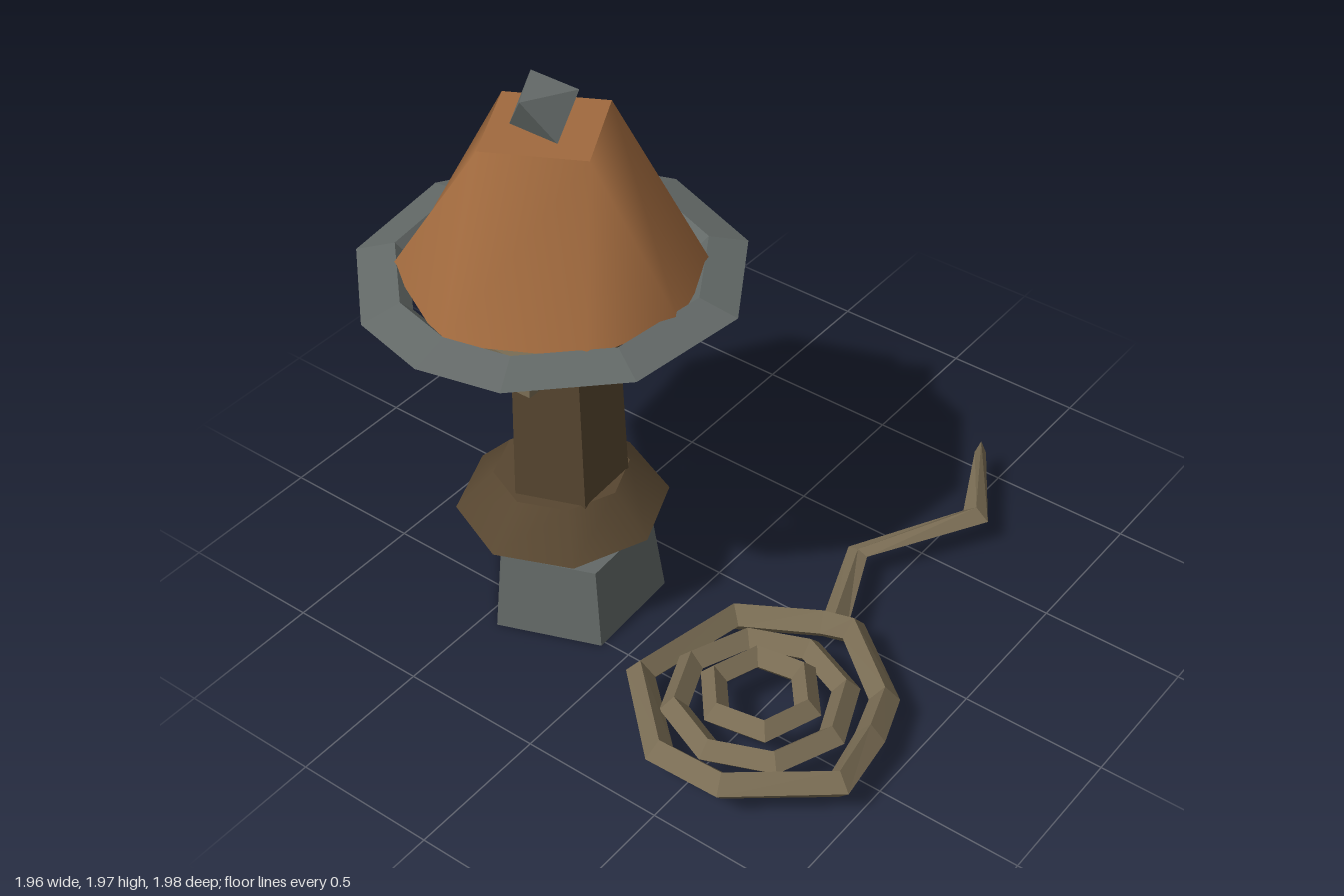
import * as THREE from 'three';

const rad = THREE.MathUtils.degToRad;
const UP = new THREE.Vector3(0, 1, 0);

// Flat-shaded skin through a list of four-cornered sections
function skin(rings, closed) {
  const n = rings.length, index = [];
  const spans = closed ? n : n - 1;
  for (let i = 0; i < spans; i++) {
    const j = (i + 1) % n;
    for (let k = 0; k < 4; k++) {
      const l = (k + 1) % 4;
      const a = i * 4 + k, b = i * 4 + l, c = j * 4 + k, d = j * 4 + l;
      index.push(a, b, c, b, d, c);
    }
  }
  if (!closed) {
    const e = (n - 1) * 4;
    index.push(0, 3, 2, 0, 2, 1, e, e + 1, e + 2, e, e + 2, e + 3);
  }
  const indexed = new THREE.BufferGeometry().setFromPoints(rings.flat());
  indexed.setIndex(index);
  const geometry = indexed.toNonIndexed();
  geometry.computeVertexNormals();
  return geometry;
}

// Diamond section swept along points [x, y, z, half width, half height]
function sweep(path, closed) {
  const pts = path.map(p => new THREE.Vector3(p[0], p[1], p[2]));
  const n = pts.length;
  const rings = pts.map((p, i) => {
    const prev = pts[closed ? (i + n - 1) % n : Math.max(i - 1, 0)];
    const next = pts[closed ? (i + 1) % n : Math.min(i + 1, n - 1)];
    const inDir = p.clone().sub(prev).normalize();
    const outDir = next.clone().sub(p).normalize();
    const t = inDir.add(outDir).setY(0).normalize();
    const s = new THREE.Vector3().crossVectors(UP, t).multiplyScalar(path[i][3]);
    const h = new THREE.Vector3(0, path[i][4], 0);
    return [p.clone().add(s), p.clone().add(h), p.clone().sub(s), p.clone().sub(h)];
  });
  return skin(rings, closed);
}

function flat(geometry) {
  const g = geometry.toNonIndexed();
  g.computeVertexNormals();
  return g;
}

export function createModel() {
  const model = new THREE.Group();
  model.name = 'tableLamp';
  const material = (name, color, extra = {}) => {
    const m = new THREE.MeshStandardMaterial({ color, ...extra });
    m.name = name;
    return m;
  };
  const iron = material('darkGrey', 0x636967);
  const copper = material('copperBrown', 0xa16a3e, { side: THREE.DoubleSide });
  const wood = material('darkBrown', 0x574630);
  const cordMat = material('oliveBrown', 0x7a6d54);

  const lamp = new THREE.Group();
  lamp.name = 'lamp';
  lamp.position.set(-0.35, 0, -0.385);
  model.add(lamp);
  const add = (parent, name, geometry, mat, x = 0, y = 0, z = 0) => {
    const mesh = new THREE.Mesh(geometry, mat);
    mesh.name = name;
    mesh.position.set(x, y, z);
    parent.add(mesh);
    return mesh;
  };
  // Five-sided tapered post between two heights
  const post = (rTop, rBottom, y0, y1) =>
    flat(new THREE.CylinderGeometry(rTop, rBottom, y1 - y0, 5, 1, false, rad(39))
      .translate(0, (y0 + y1) / 2, 0));

  // Foot and stem
  add(lamp, 'foot', post(0.275, 0.312, 0, 0.29), iron, 0, 0, 0.025);
  add(lamp, 'stem', post(0.185, 0.21, 0.28, 1.14), wood, 0, 0, 0.02);
  add(lamp, 'collar', new THREE.CylinderGeometry(0.225, 0.355, 0.135, 8), wood, 0, 0.452, 0);
  add(lamp, 'crossBlock', new THREE.BoxGeometry(0.7, 0.125, 0.39), cordMat, 0, 1.183, 0);
  add(lamp, 'socket', post(0.15, 0.09, 1.24, 1.36), wood, 0, 0, 0);

  // Shade: eight-sided hem drawn in to a four-cornered top
  const hem = [0, 52, 90, 128, 180, 232, 270, 308];
  const ring = (deg, r, y) =>
    new THREE.Vector3(r * Math.cos(rad(deg)), y, r * Math.sin(rad(deg)));
  const shadePoints = hem.map(a => ring(a, a % 180 === 0 ? 0.51 : 0.495, 1.335));
  for (let k = 0; k < 4; k++) shadePoints.push(ring(17 + 90 * k, 0.24, 1.84));
  const shadeIndex = [];
  for (let i = 0; i < 8; i++) {
    const j = (i + 1) % 8;
    const ti = 8 + Math.floor(i / 2), tj = 8 + Math.floor(j / 2);
    shadeIndex.push(i, ti, j);
    if (ti !== tj) shadeIndex.push(ti, tj, j);
  }
  const shade = new THREE.BufferGeometry().setFromPoints(shadePoints);
  shade.setIndex(shadeIndex);
  shade.computeVertexNormals();
  add(lamp, 'shade', shade, copper);
  add(lamp, 'shadeTop',
    new THREE.CircleGeometry(0.24, 4, rad(-17)).rotateX(-Math.PI / 2), copper, 0, 1.84, 0);

  // Rim around the hem of the shade
  const rimAngles = [0, 39, 77, 117, 154, 180, 206, 243, 283, 321];
  const rimProfile = [[0.628, 1.315], [0.5, 1.355], [0.46, 1.315], [0.5, 1.275]];
  add(lamp, 'rim',
    skin(rimAngles.map(a => rimProfile.map(([r, y]) => ring(a, r, y))), true), iron);

  // Finial: octahedron resting on one face
  const finialPoints = [];
  for (let k = 0; k < 3; k++) finialPoints.push(ring(180 + 120 * k, 0.108, 1.973));
  for (let k = 0; k < 3; k++) finialPoints.push(ring(240 + 120 * k, 0.108, 1.838));
  const finialIndex = [0, 2, 1, 3, 4, 5];
  for (let k = 0; k < 3; k++) {
    const l = (k + 1) % 3;
    finialIndex.push(3 + k, k, l, 3 + k, l, 3 + l);
  }
  const finial = new THREE.BufferGeometry().setFromPoints(finialPoints);
  finial.setIndex(finialIndex);
  add(lamp, 'finial', flat(finial), iron);

  // Coiled cord: three nested loops, higher towards the middle
  const cord = new THREE.Group();
  cord.name = 'cord';
  model.add(cord);
  const outer = [[-0.07, 0.6], [-0.26, 0.85], [-0.43, 0.91], [-0.64, 0.94],
    [-0.87, 0.66], [-0.87, 0.42], [-0.64, 0.165], [-0.24, 0.24], [-0.1, 0.5]];
  add(cord, 'outerLoop',
    sweep(outer.map(([x, z], i) => [x, i % 2 ? 0.115 : 0.125, z, 0.05, 0.058]), true), cordMat);
  const loop = (name, sides, r, y, start) => {
    const path = [];
    for (let i = 0; i < sides; i++) {
      const a = rad(start) + i / sides * Math.PI * 2;
      path.push([-0.51 + r * Math.cos(a), y, 0.545 + r * Math.sin(a), 0.047, 0.05]);
    }
    add(cord, name, sweep(path, true), cordMat);
  };
  loop('middleLoop', 8, 0.275, 0.135, 0);
  loop('innerLoop', 6, 0.165, 0.16, 20);

  // Loose end of the cord
  add(cord, 'looseEnd', sweep([
    [-0.08, 0.115, 0.53, 0.045, 0.045],
    [0.27, 0.11, 0.385, 0.04, 0.012],
    [0.66, 0.115, 0.61, 0.05, 0.04],
    [0.97, 0.108, 0.435, 0.02, 0.05],
  ], false), cordMat);

  return model;
}
